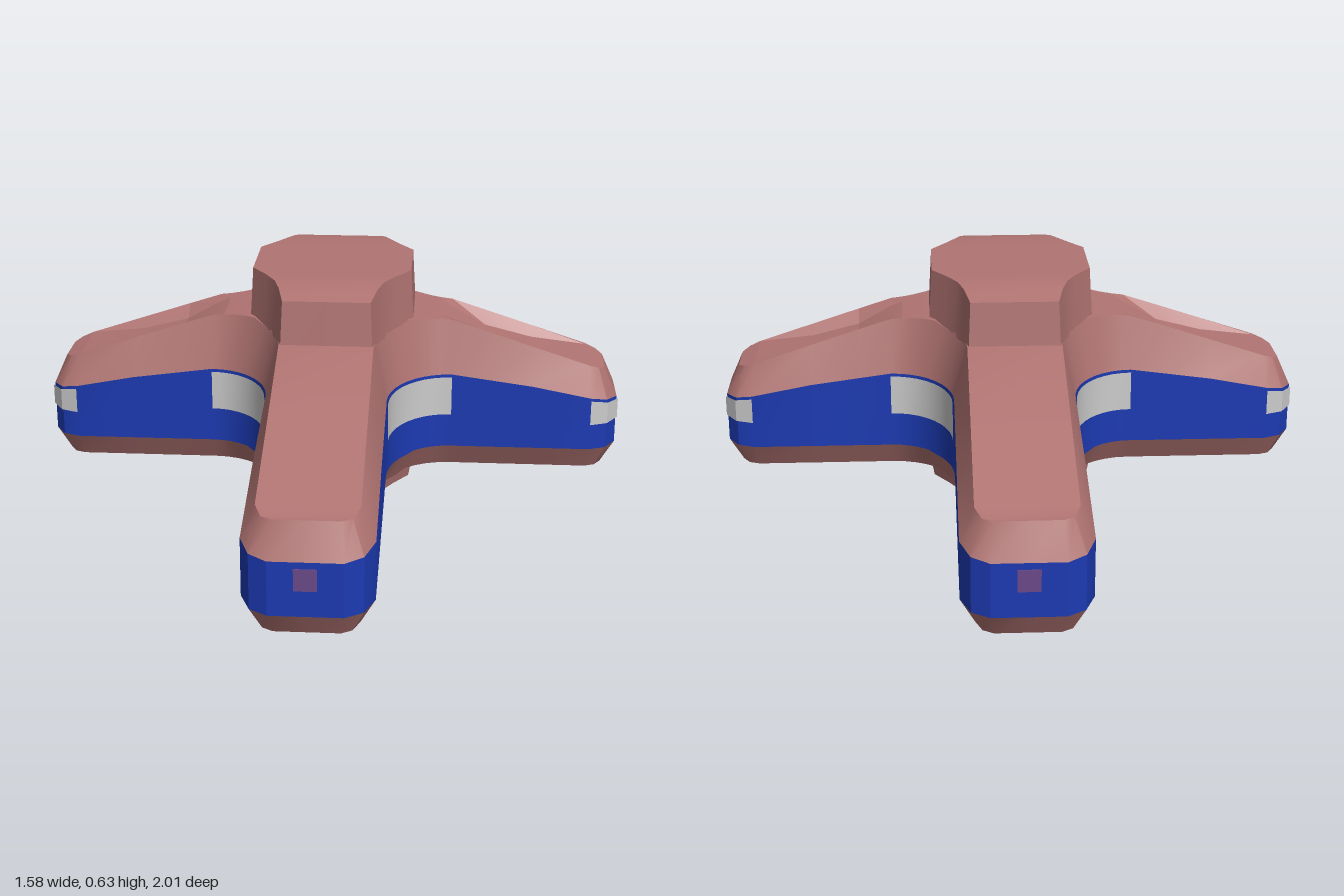
import * as THREE from 'three';
import { toCreasedNormals } from 'three/addons/utils/BufferGeometryUtils.js';

const HULL = new THREE.MeshStandardMaterial({ color: 0xb07472 });
const BAND = new THREE.MeshStandardMaterial({ color: 0x1c3ab2 });
const GLASS = new THREE.MeshStandardMaterial({ color: 0xcccccc });
const HATCH = new THREE.MeshStandardMaterial({ color: 0x6b4a8a });

// Piecewise linear curve through [position, value] stops in rising order
function curve(stops, t) {
  if (t <= stops[0][0]) return stops[0][1];
  for (let i = 1; i < stops.length; i++) {
    const [a, va] = stops[i - 1], [b, vb] = stops[i];
    if (t <= b) return va + (vb - va) * (t - a) / (b - a);
  }
  return stops[stops.length - 1][1];
}

// Surface stretched over rows of points
function skin(rows, crease = 0.5) {
  const v = [];
  for (let r = 0; r + 1 < rows.length; r++) {
    for (let i = 0; i + 1 < rows[r].length; i++) {
      const a = rows[r][i], b = rows[r][i + 1], c = rows[r + 1][i + 1], d = rows[r + 1][i];
      v.push(...a, ...b, ...c, ...a, ...c, ...d);
    }
  }
  const g = new THREE.BufferGeometry();
  g.setAttribute('position', new THREE.Float32BufferAttribute(v, 3));
  return toCreasedNormals(g, crease);
}

const flip = (p, sx, sz) => [p[0] * sx, p[1], p[2] * sz];

// Closed loop from one quadrant running from the z axis to the x axis
function loop(q) {
  const back = [...q].reverse();
  return [
    ...q,
    ...back.slice(1).map(p => flip(p, 1, -1)),
    ...q.slice(1).map(p => flip(p, -1, -1)),
    ...back.slice(1).map(p => flip(p, -1, 1)),
  ];
}

// Quadrant plan of the cross: long arm, concave corner, short arm
const STEPS = 10;
const plan = [[0, 1], [0.09, 1], [0.135, 0.975], [0.16, 0.92], [0.16, 0.64]];
const arcStart = plan.length;
for (let i = 0; i <= STEPS; i++) {
  const a = (i / STEPS) * Math.PI / 2;
  plan.push([0.33 - 0.17 * Math.cos(a), 0.34 - 0.21 * Math.sin(a)]);
}
const arcEnd = plan.length - 1, mid = arcStart + STEPS / 2;
plan.push([0.42, 0.13], [0.55, 0.13]);
const tipStart = plan.length;
plan.push([0.71, 0.13], [0.755, 0.112], [0.785, 0.065], [0.785, 0.037]);
const tipEnd = plan.length - 1;
plan.push([0.785, 0]);

// Plan point moved outward (positive) or inward (negative)
function offset(i, d) {
  const n = plan.length - 1, [x, z] = plan[i];
  if (i === 0) return [x, z + d];
  if (i === n) return [x + d, z];
  const p = new THREE.Vector2(...plan[i - 1]), c = new THREE.Vector2(x, z), q = new THREE.Vector2(...plan[i + 1]);
  const t1 = c.clone().sub(p).normalize(), t2 = q.sub(c).normalize();
  const t = t1.clone().add(t2).normalize();
  const m = d / Math.max(0.6, t.dot(t1));
  return [x - t.y * m, z + t.x * m];
}

// Heights of the hull, as [long arm stops, short arm stops]
const HEIGHT = {
  bottom: [[[0.34, 0.06], [0.96, 0]], [[0.33, 0.07]]],
  bandLow: [[[0.34, 0.13], [1, 0.06]], [[0.33, 0.135]]],
  bandHigh: [[[0.34, 0.345], [0.64, 0.288], [1, 0.2]], [[0.33, 0.345], [0.55, 0.315], [0.785, 0.27]]],
  top: [[[0.34, 0.49], [0.95, 0.29]], [[0.22, 0.5], [0.33, 0.49], [0.71, 0.365], [0.75, 0.35]]],
};
function ring(level, d) {
  return plan.map((_, i) => {
    const [x, z] = offset(i, d);
    const y = i <= mid ? curve(HEIGHT[level][0], z) : curve(HEIGHT[level][1], x);
    return [x, y, z];
  });
}

export function createModel() {
  const model = new THREE.Group();
  const add = (name, geometry, material) => {
    const m = new THREE.Mesh(geometry, material);
    m.name = name;
    model.add(m);
    return m;
  };
  const addPair = (name, geometry, material) => {
    add(name, geometry, material);
    add(name, geometry.clone().rotateY(Math.PI), material);
  };

  // Sloped hull sides and the coloured band between them
  const bottom = ring('bottom', -0.036), low = ring('bandLow', 0);
  const high = ring('bandHigh', 0), top = ring('top', -0.036);
  add('lowerHull', skin([loop(bottom), loop(low)]), HULL);
  add('sideBand', skin([loop(low), loop(high)]), BAND);
  add('upperHull', skin([loop(high), loop(top)]), HULL);

  // Flat decks of the long arms, carried on to the middle
  const longDeck = r => {
    const rows = r.slice(1, mid + 1).map(p => [flip(p, -1, 1), p]);
    const [x, y] = r[mid];
    return [...rows, [[-x, y, 0], [x, y, 0]]];
  };
  addPair('longArmDeck', skin(longDeck(top)), HULL);
  addPair('longArmBelly', skin(longDeck(bottom).reverse()), HULL);

  // Short arm decks, the upper one with a shallow trough
  const shortDeck = (r, depth) => {
    const rows = r.slice(mid, -1).reverse().map(p => {
      const [x, y, z] = p;
      const sag = depth * curve([[0.3, 0], [0.4, 1], [0.55, 0.8], [0.7, 0]], x);
      const inner = z * curve([[0.3, 0.55], [0.7, 0.9]], x);
      return [p, [x, y - sag, inner], [x, y - sag, -inner], flip(p, 1, -1)];
    });
    return [...rows, rows[rows.length - 1].map(p => [0, p[1], p[2]])];
  };
  addPair('shortArmDeck', skin(shortDeck(top, 0.035), 0.2), HULL);
  addPair('shortArmBelly', skin(shortDeck(bottom, 0).reverse()), HULL);

  // Raised hub above and shallow plate below, sharing one concave plan
  const foot = [[0, 0.335], [0.123, 0.335], [0.14, 0.265], [0.158, 0.215], [0.186, 0.168], [0.226, 0.11], [0.226, 0]];
  const crown = [[0, 0.318], [0.115, 0.318], [0.13, 0.255], [0.145, 0.21], [0.172, 0.162], [0.214, 0.1], [0.214, 0]];
  const crownY = z => curve([[0.2, 0.63], [0.3, 0.617], [0.32, 0.605]], z);
  const footQ = foot.map(([x, z]) => [x, 0.42, z]);
  const crownQ = crown.map(([x, z]) => [x, crownY(z), z]);
  const plateQ = crown.map(([x, z]) => [x, 0.03, z]);
  const plateTopQ = foot.map(([x, z]) => [x, 0.1, z]);
  const lid = q => {
    const half = q.slice(1).map(p => [flip(p, -1, 1), p]);
    const far = [...half].reverse().slice(1).map(r => r.map(p => flip(p, 1, -1)));
    return [...half, ...far];
  };
  add('hubWall', skin([loop(footQ), loop(crownQ)]), HULL);
  add('hubRoof', skin(lid(crownQ)), HULL);
  add('bellyPlateEdge', skin([loop(plateQ), loop(plateTopQ)]), HULL);
  add('bellyPlate', skin(lid(plateQ).reverse()), HULL);

  // Windows wrapped around the inner corners and the short arm tips
  const strip = (from, to, base, sx, sz) => {
    const lower = [], upper = [];
    for (let i = from; i <= to; i++) {
      const [x, z] = offset(i, 0.004);
      lower.push([x * sx, base, z * sz]);
      upper.push([x * sx, high[i][1] - 0.007, z * sz]);
    }
    return skin(sx * sz > 0 ? [lower, upper] : [upper, lower]);
  };
  for (const sx of [1, -1]) {
    for (const sz of [1, -1]) {
      add('cornerWindow', strip(arcStart, arcEnd, 0.23, sx, sz), GLASS);
      add('tipWindow', strip(tipStart, tipEnd, 0.208, sx, sz), GLASS);
    }
  }

  // Small square hatch on each long arm end
  addPair('endHatch', new THREE.BoxGeometry(0.056, 0.056, 0.01).translate(0, 0.155, 0.998), HATCH);

  return model;
}
